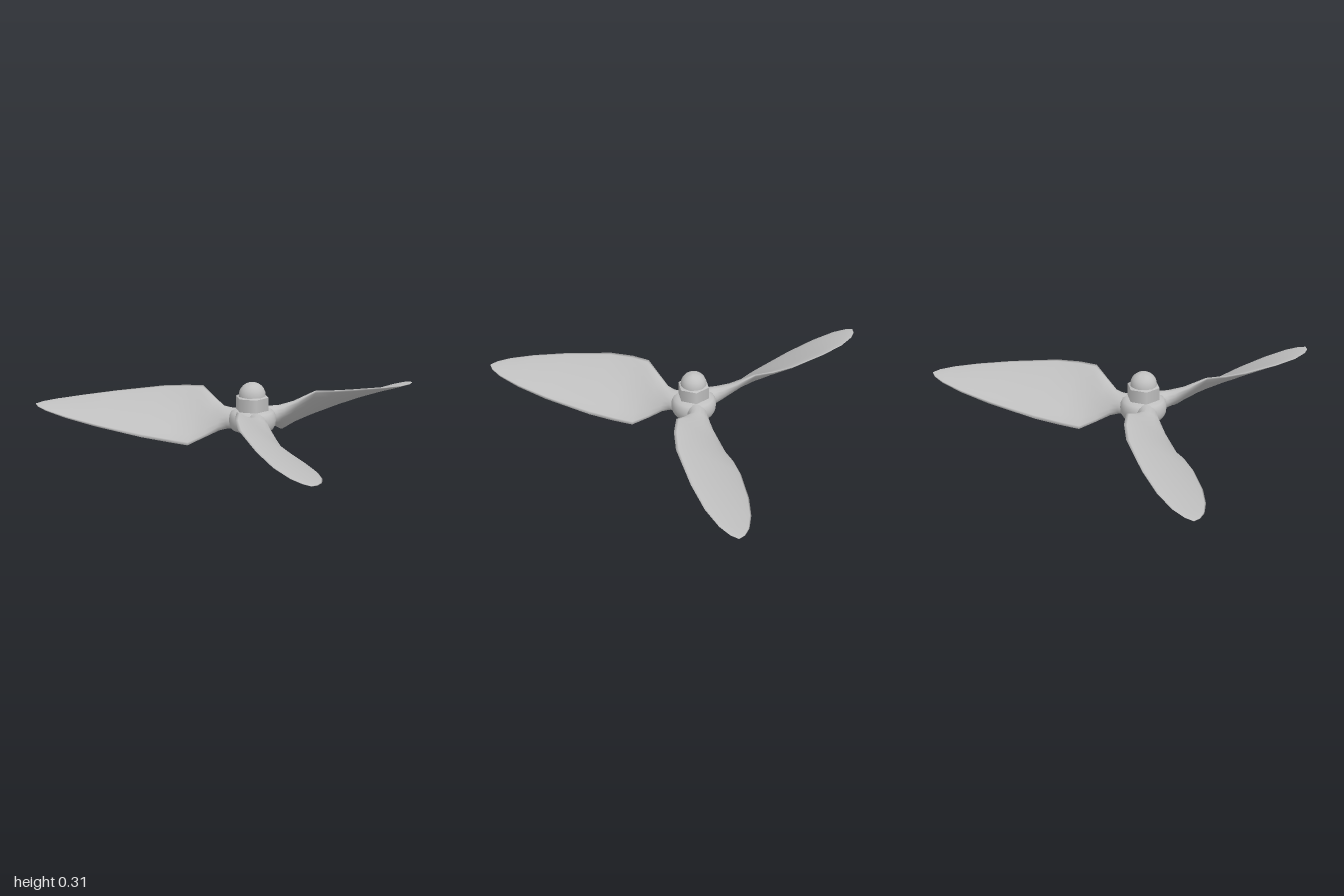
import * as THREE from 'three';
import { toCreasedNormals } from 'three/addons/utils/BufferGeometryUtils.js';

const SIDES = 16;

// Blade stations: [radius, low edge x, low edge y, high edge x, high edge y, half thickness]
const STATIONS = [
  [0.04, -0.037, 0.095, 0.037, 0.165, 0.05],
  [0.12, -0.04, 0.092, 0.04, 0.168, 0.047],
  [0.16, -0.052, 0.08, 0.056, 0.172, 0.04],
  [0.22, -0.08, 0.045, 0.095, 0.203, 0.028],
  [0.3, -0.113, 0.005, 0.143, 0.25, 0.016],
  [0.4, -0.132, 0.02, 0.172, 0.24, 0.015],
  [0.53, -0.14, 0.036, 0.185, 0.225, 0.014],
  [0.78, -0.128, 0.07, 0.157, 0.188, 0.011],
  [0.95, -0.102, 0.095, 0.122, 0.162, 0.009],
  [1.07, -0.067, 0.114, 0.077, 0.145, 0.007],
  [1.13, -0.033, 0.124, 0.037, 0.136, 0.005],
  [1.155, -0.003, 0.13, 0.003, 0.13, 0.002],
];

// Twisted blade reaching along -z, lofted through elliptical sections
function bladeGeometry() {
  const positions = [], index = [];
  STATIONS.forEach(([r, lx, ly, hx, hy, t], i) => {
    const cx = (lx + hx) / 2, cy = (ly + hy) / 2;
    const dx = (hx - lx) / 2, dy = (hy - ly) / 2;
    const half = Math.hypot(dx, dy);
    for (let j = 0; j < SIDES; j++) {
      const a = (j / SIDES) * Math.PI * 2;
      const u = Math.cos(a), v = (Math.sin(a) * t) / half;
      positions.push(cx + dx * u - dy * v, cy + dy * u + dx * v, -r);
      if (i === STATIONS.length - 1) continue;
      const p = i * SIDES + j, q = i * SIDES + ((j + 1) % SIDES);
      index.push(p, p + SIDES, q, q, p + SIDES, q + SIDES);
    }
  });
  // Close the tip
  const last = (STATIONS.length - 1) * SIDES;
  for (let j = 1; j < SIDES - 1; j++) index.push(last, last + j + 1, last + j);
  const geometry = new THREE.BufferGeometry();
  geometry.setAttribute('position', new THREE.Float32BufferAttribute(positions, 3));
  geometry.setIndex(index);
  geometry.computeVertexNormals();
  return geometry;
}

const lathe = (points, segments) => toCreasedNormals(
  new THREE.LatheGeometry(points.map(([x, y]) => new THREE.Vector2(x, y)), segments), 0.7);

export function createModel() {
  const metal = new THREE.MeshStandardMaterial({ color: 0xc0c0c0 });
  metal.name = 'grey metal';

  const model = new THREE.Group();
  model.name = 'propeller';
  const rotor = new THREE.Group();
  rotor.name = 'rotor';
  rotor.position.z = 0.28;
  model.add(rotor);

  const add = (name, geometry, y = 0) => {
    const mesh = new THREE.Mesh(geometry, metal);
    mesh.name = name;
    mesh.position.y = y;
    rotor.add(mesh);
    return mesh;
  };

  // Three blades
  const blade = bladeGeometry();
  for (let k = 0; k < 3; k++) add('blade' + (k + 1), blade).rotation.y = (k * Math.PI * 2) / 3;

  // Rounded hub with a shaft bore underneath
  add('hub', lathe([
    [0, 0.11], [0.035, 0.11], [0.035, 0.078], [0.085, 0.078], [0.103, 0.086], [0.113, 0.105],
    [0.116, 0.13], [0.113, 0.155], [0.103, 0.172], [0.085, 0.18], [0, 0.18],
  ], 32));

  // Hexagonal nut with chamfered top
  add('nut', new THREE.CylinderGeometry(0.083, 0.083, 0.065, 6).toNonIndexed(), 0.2125);
  add('nutChamfer', new THREE.CylinderGeometry(0.073, 0.083, 0.006, 6).toNonIndexed(), 0.248);

  // Domed cap
  const cap = [[0.066, 0.245], [0.066, 0.255]];
  for (let i = 1; i <= 6; i++) {
    const a = (i / 6) * Math.PI / 2;
    cap.push([0.066 * Math.cos(a), 0.255 + 0.063 * Math.sin(a)]);
  }
  add('domeCap', lathe(cap, 24));

  return model;
}
